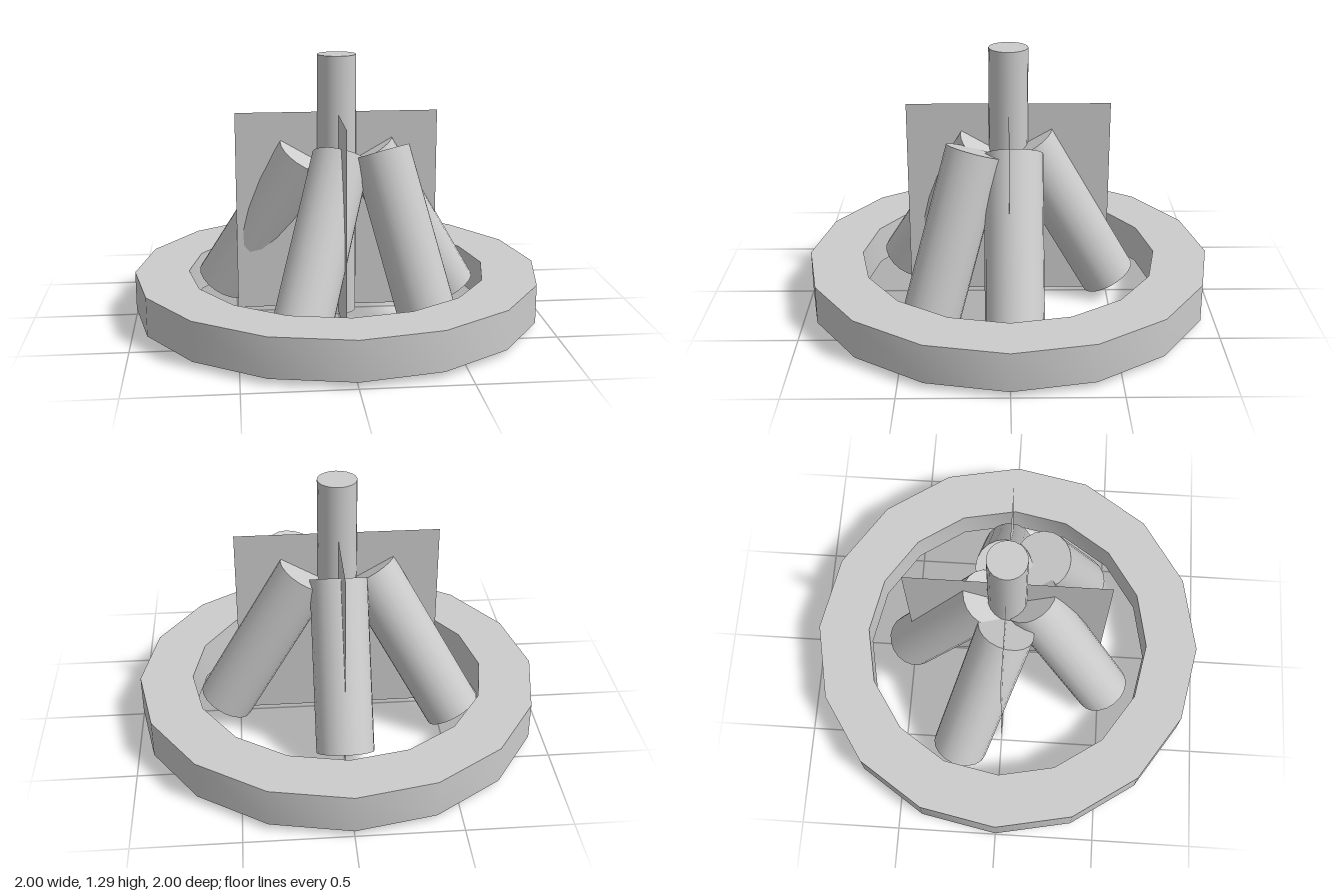
import * as THREE from 'three';
import { toCreasedNormals } from 'three/addons/utils/BufferGeometryUtils.js';

const grey = new THREE.MeshStandardMaterial({ color: 0xcccccc });
const thin = new THREE.MeshStandardMaterial({ color: 0xcccccc, side: THREE.DoubleSide });
const UP = new THREE.Vector3(0, 1, 0);

// Straight round bar between two points
function bar(name, bottom, top, radius) {
  const a = new THREE.Vector3(...bottom);
  const b = new THREE.Vector3(...top);
  const axis = b.clone().sub(a);
  const mesh = new THREE.Mesh(new THREE.CylinderGeometry(radius, radius, axis.length(), 20), grey);
  mesh.name = name;
  mesh.position.copy(a).add(b).multiplyScalar(0.5);
  mesh.quaternion.setFromUnitVectors(UP, axis.normalize());
  return mesh;
}

export function createModel() {
  const model = new THREE.Group();
  model.name = 'campfire';

  // Sixteen-sided ring around the fire
  const [inner, outer, low, high] = [0.735, 1, 0.03, 0.22];
  const profile = [[inner, low], [outer, low], [outer, high], [inner, high], [inner, low]]
    .map(([r, y]) => new THREE.Vector2(r, y));
  const ring = new THREE.Mesh(toCreasedNormals(new THREE.LatheGeometry(profile, 16), 0.6), grey);
  ring.name = 'fireRing';
  model.add(ring);

  // Upright centre post
  model.add(bar('centrePost', [0, 0, 0], [0, 1.29, 0], 0.095));

  // Logs leaning together: bottom centre, top centre
  const logs = new THREE.Group();
  logs.name = 'logs';
  [
    [[0, 0.09, -0.505], [0, 0.81, -0.09]],
    [[0.57, 0.09, -0.025], [0.155, 0.81, -0.025]],
    [[0.405, 0.065, 0.375], [0.2, 0.84, 0.16]],
    [[-0.209, 0.1, 0.515], [0.01, 0.8, 0.11]],
    [[-0.565, 0.1, -0.21], [-0.155, 0.8, 0.005]],
  ].forEach(([bottom, top], i) => logs.add(bar(`log${i + 1}`, bottom, top, 0.14)));
  model.add(logs);

  // Two crossed flame sheets
  for (let i = 0; i < 2; i++) {
    const sheet = new THREE.Mesh(new THREE.PlaneGeometry(0.99, 0.99), thin);
    sheet.name = `flameSheet${i + 1}`;
    sheet.position.y = 0.515;
    sheet.rotation.y = i * Math.PI / 2;
    model.add(sheet);
  }
  return model;
}
